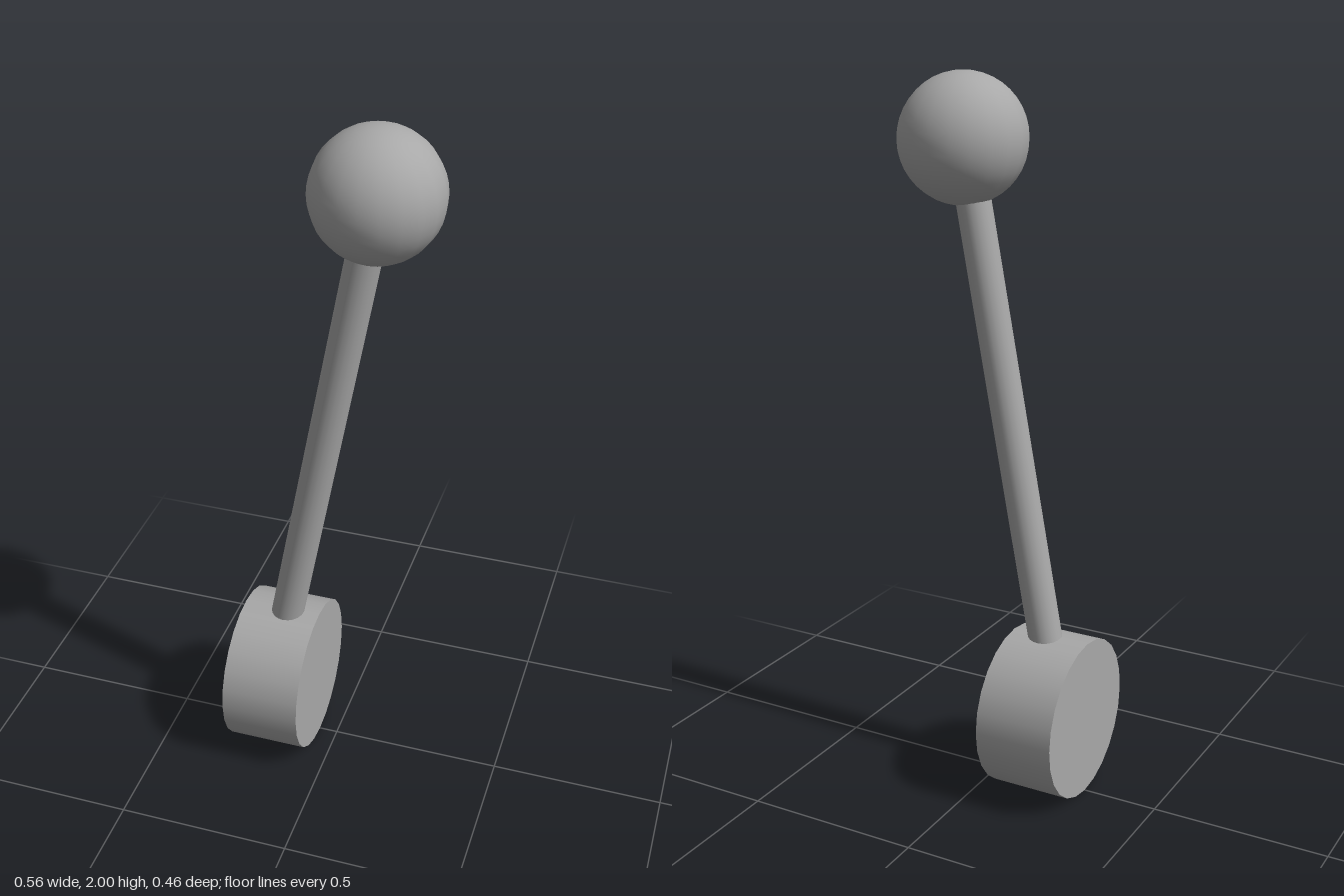
import * as THREE from 'three';

export function createModel() {
  const model = new THREE.Group();
  const grey = new THREE.MeshStandardMaterial({ color: 0xa8a8a8 });
  grey.name = 'grey';

  const add = (name, geometry, x, y) => {
    const mesh = new THREE.Mesh(geometry, grey);
    mesh.name = name;
    mesh.position.set(x, y, 0);
    model.add(mesh);
    return mesh;
  };

  // Pivot drum lying along x
  const hub = add('pivotHub', new THREE.CylinderGeometry(0.228, 0.228, 0.228, 24), -0.169, 0.228);
  hub.rotation.z = Math.PI / 2;

  // Ball grip
  const ball = new THREE.Vector2(0.104, 1.824);
  add('ballKnob', new THREE.SphereGeometry(0.176, 20, 20), ball.x, ball.y);

  // Leaning rod from inside the drum to the ball centre
  const foot = new THREE.Vector2(-0.189, 0.25);
  const lean = ball.clone().sub(foot);
  const middle = foot.clone().add(ball).multiplyScalar(0.5);
  const rod = add('leverRod', new THREE.CylinderGeometry(0.048, 0.048, lean.length(), 20), middle.x, middle.y);
  rod.rotation.z = -Math.atan2(lean.x, lean.y);

  return model;
}
